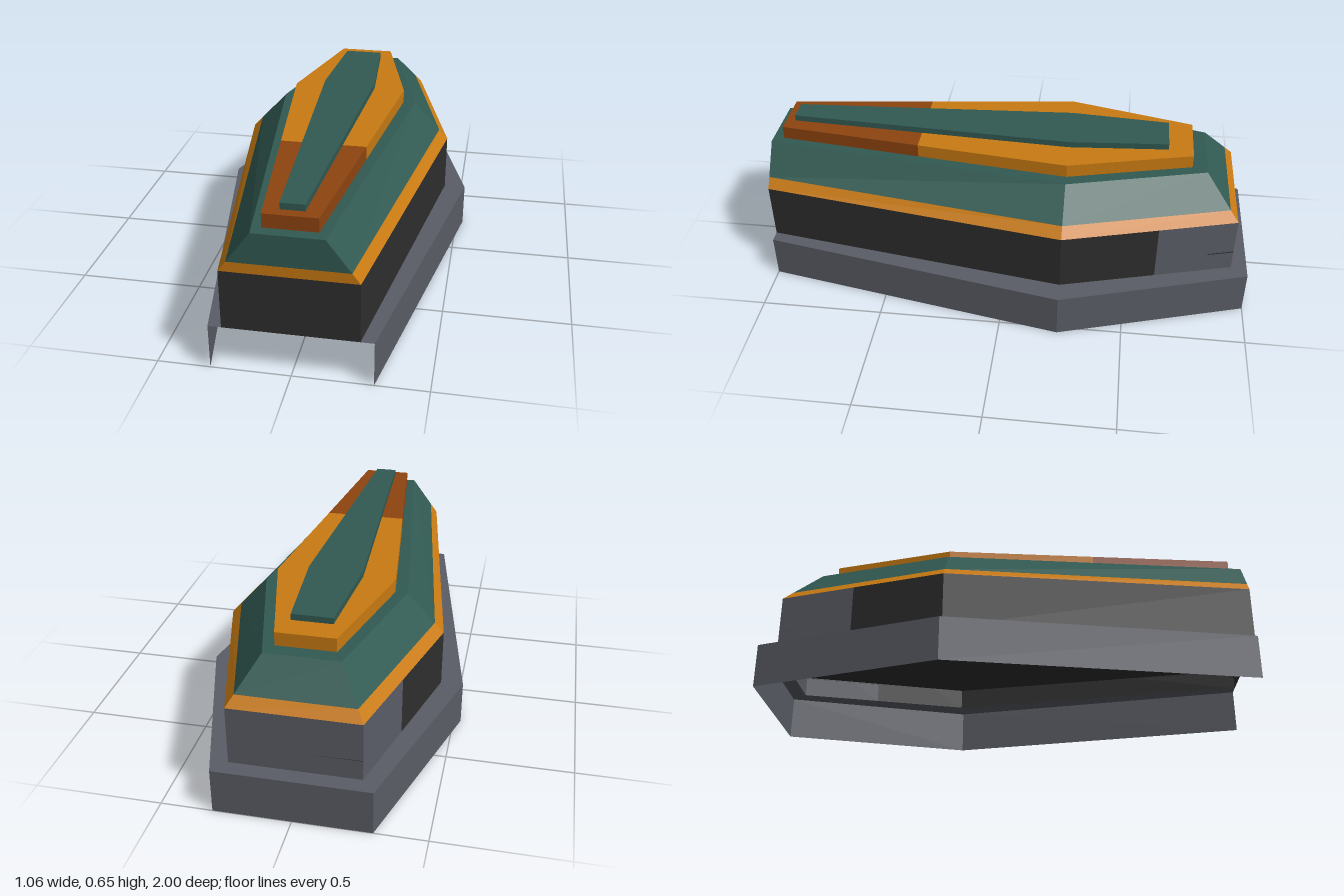
import * as THREE from 'three';

const MID = -0.24; // z of the widest point shared by every outline

// Six-sided plan, counter-clockwise from above: half widths at front, middle and back
const outline = (front, mid, back, zFront, zBack) => [
  [front, zFront], [mid, MID], [back, zBack],
  [-back, zBack], [-mid, MID], [-front, zFront],
];

// Point on the edge a-b at a given z, and its mirror across x
const cut = (a, b, z) => [a[0] + (b[0] - a[0]) * (z - a[1]) / (b[1] - a[1]), z];
const mirror = ([x, z]) => [-x, z];
const blend = (a, b, t) => a.map((p, i) => [p[0] + (b[i][0] - p[0]) * t, p[1] + (b[i][1] - p[1]) * t]);

// Wall between a lower and an upper outline, optionally closed round and capped on top
function wall(low, y0, high, y1, closed = false, cap = false) {
  const pos = [];
  const n = low.length;
  const put = ([x, z], y) => pos.push(x, y, z);
  for (let i = 0; i < (closed ? n : n - 1); i++) {
    const j = (i + 1) % n;
    put(low[i], y0); put(low[j], y0); put(high[j], y1);
    put(low[i], y0); put(high[j], y1); put(high[i], y1);
  }
  if (cap) {
    for (let i = 1; i < n - 1; i++) {
      put(high[0], y1); put(high[i], y1); put(high[i + 1], y1);
    }
  }
  const g = new THREE.BufferGeometry();
  g.setAttribute('position', new THREE.Float32BufferAttribute(pos, 3));
  g.computeVertexNormals();
  return g;
}

export function createModel() {
  const model = new THREE.Group();
  model.name = 'coffinShapedHull';

  const material = (name, color) => {
    const m = new THREE.MeshStandardMaterial({ color, side: THREE.DoubleSide });
    m.name = name;
    return m;
  };
  const grey = material('slateGrey', 0x5a5d66);
  const dark = material('charcoal', 0x2e2e2e);
  const green = material('deepGreen', 0x315a52);
  const orange = material('amber', 0xc87a12);
  const brown = material('rust', 0x8f4410);

  const add = (name, geometry, mat) => {
    const mesh = new THREE.Mesh(geometry, mat);
    mesh.name = name;
    model.add(mesh);
  };

  const skirt = outline(0.30, 0.53, 0.30, 1, -1);
  const hull = outline(0.25, 0.44, 0.25, 1, -0.935);
  const roofTop = outline(0.13, 0.29, 0.145, 1, -0.80);

  // Skirt: hollow underneath and open at the front, with a flat ledge
  add('skirt', wall(skirt, 0, skirt, 0.18), grey);
  add('skirtLedge', wall(skirt, 0.18, hull, 0.18), grey);

  // Hull walls: dark round the front and sides, grey round the back
  const split = cut(hull[1], hull[2], -0.62);
  const sides = [mirror(split), hull[4], hull[5], hull[0], hull[1], split];
  const rear = [split, hull[2], hull[3], mirror(split)];
  add('hullSides', wall(sides, 0.18, sides, 0.415), dark);
  add('hullRear', wall(rear, 0.18, rear, 0.415), grey);

  // Recessed floor panel closing the hull
  add('hullFloor', wall(hull, 0.26, hull, 0.265, true, true), dark);

  // Sloping roof with a trim band along its lower edge
  const trim = blend(hull, roofTop, 0.25);
  add('roofTrim', wall(hull, 0.415, trim, 0.455, true), orange);
  add('roof', wall(trim, 0.455, roofTop, 0.576, true, true), green);

  // Raised deck plate, rust coloured towards the front
  const deck = outline(0.10, 0.24, 0.115, 0.955, -0.74);
  const seam = cut(deck[0], deck[1], 0.37);
  const deckBack = [seam, ...deck.slice(1, 5), mirror(seam)];
  const deckFront = [deck[0], seam, mirror(seam), deck[5]];
  add('deckBack', wall(deckBack, 0.576, deckBack, 0.63, true, true), orange);
  add('deckFront', wall(deckFront, 0.576, deckFront, 0.63, true, true), brown);

  // Narrow strip on top of the deck
  const strip = outline(0.045, 0.11, 0.08, 0.915, -0.64);
  add('topStrip', wall(strip, 0.63, strip, 0.655, true, true), green);

  return model;
}
